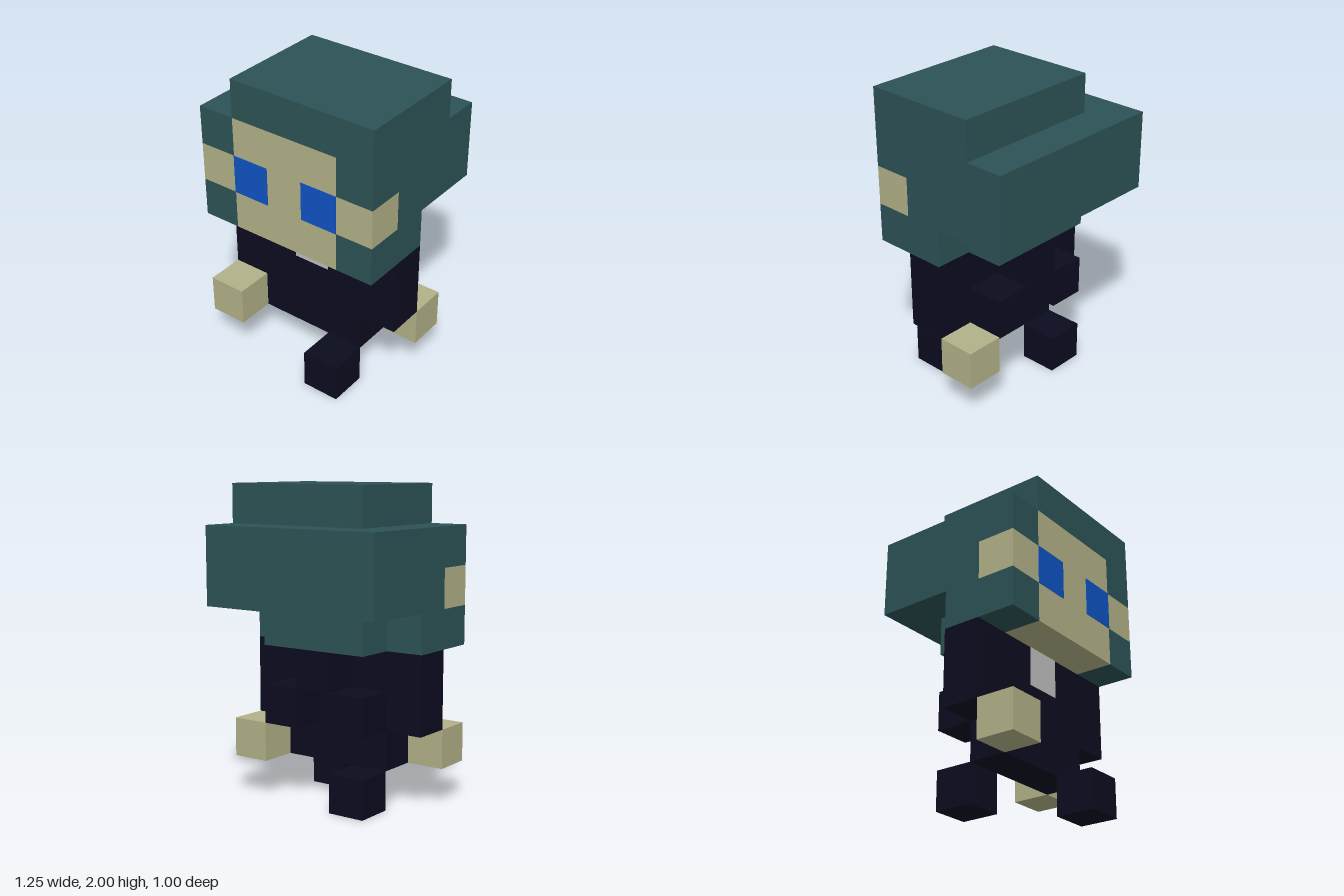
import * as THREE from 'three';

const U = 0.25; // edge of one block

export function createModel() {
  const group = new THREE.Group();
  const paint = (name, color) => {
    const m = new THREE.MeshStandardMaterial({ color });
    m.name = name;
    return m;
  };
  const hair = paint('hairTeal', 0x2c5255);
  const skin = paint('skinTan', 0xb1b188);
  const cloth = paint('clothNavy', 0x0b0b20);
  const blue = paint('eyeBlue', 0x0e52c2);
  const grey = paint('collarGrey', 0xbebebe);

  // Box between two corners given in block units: x -2.5..2.5, y 0..8, z -2..2
  const box = (name, mat, [x0, x1], [y0, y1], [z0, z1]) => {
    const geo = new THREE.BoxGeometry((x1 - x0) * U, (y1 - y0) * U, (z1 - z0) * U);
    const mesh = new THREE.Mesh(geo, mat);
    mesh.name = name;
    mesh.position.set((x0 + x1) / 2 * U, (y0 + y1) / 2 * U, (z0 + z1) / 2 * U);
    group.add(mesh);
  };
  // Same box on both sides of x = 0
  const pair = (name, mat, [x0, x1], y, z) => {
    box(name + 'Left', mat, [x0, x1], y, z);
    box(name + 'Right', mat, [-x1, -x0], y, z);
  };

  // Hair: off-centre crown, wide back, lower layers
  box('hairCrown', hair, [-1.5, 2.5], [7, 8], [-1, 2]);
  box('hairBack', hair, [-2.5, 2.5], [5, 7], [-2, 1]);
  box('hairLower', hair, [-2.5, 2.5], [4, 5], [0, 1]);
  box('hairNape', hair, [-1.5, 1.5], [4, 5], [-1, 0]);
  pair('templeHair', hair, [1.5, 2.5], [6, 7], [1, 2]);
  pair('cheekHair', hair, [1.5, 2.5], [4, 5], [1, 2]);

  // Face
  box('face', skin, [-1.5, 1.5], [4, 7], [1, 2]);
  pair('ear', skin, [1.5, 2.5], [5, 6], [1, 2]);
  pair('eye', blue, [0.5, 1.5], [5, 6], [2, 2.015]);

  // Body
  box('torso', cloth, [-1.5, 1.5], [1, 4], [0, 1]);
  pair('arm', cloth, [1.5, 2.5], [2, 4], [0, 1]);
  box('collar', grey, [-0.5, 0.5], [3, 4], [1, 1.015]);

  // Blocks on the back
  box('backKnot', cloth, [-0.5, 0.5], [3, 4], [-1, 0]);
  pair('backTail', cloth, [0.5, 1.5], [2, 3], [-1, 0]);

  // Hands and feet in mid-stride
  box('handLeft', skin, [1.5, 2.5], [1, 2], [-1, 0]);
  box('handRight', skin, [-2.5, -1.5], [1, 2], [1, 2]);
  box('footLeft', cloth, [0.5, 1.5], [0, 1], [1, 2]);
  box('footRight', cloth, [-1.5, -0.5], [0, 1], [-1, 0]);

  return group;
}
